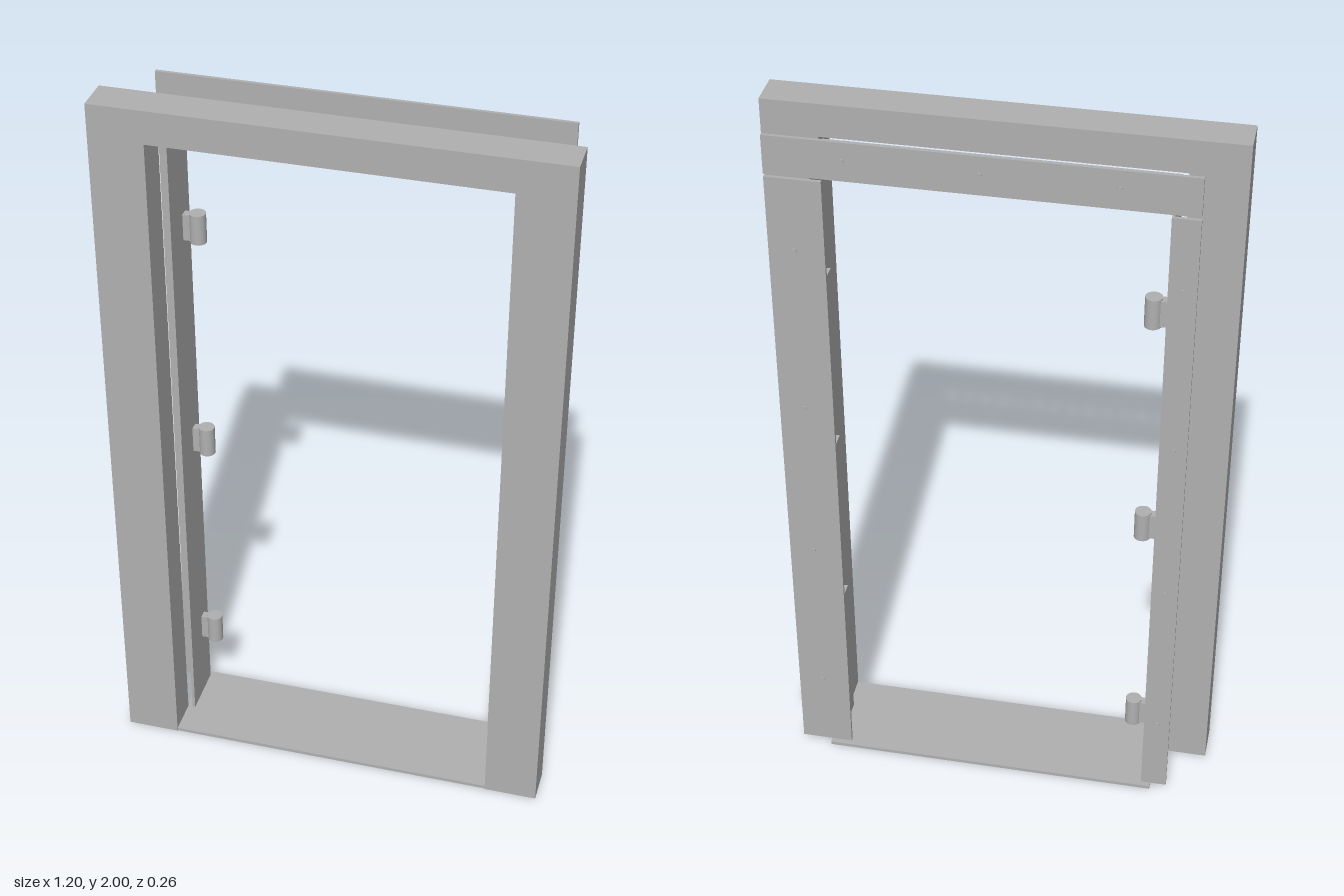
import * as THREE from 'three';

export function createModel() {
  const root = new THREE.Group();
  root.name = 'doorFrame';
  const steel = new THREE.MeshStandardMaterial({ color: 0xb0b0b0 });
  steel.name = 'grey steel';

  const add = (name, geometry, parent = root) => {
    const mesh = new THREE.Mesh(geometry, steel);
    mesh.name = name;
    parent.add(mesh);
    return mesh;
  };
  // Box given by its minimum and maximum on each axis
  const box = (name, x0, x1, y0, y1, z0, z1, parent = root) => {
    const mesh = add(name, new THREE.BoxGeometry(x1 - x0, y1 - y0, z1 - z0), parent);
    mesh.position.set((x0 + x1) / 2, (y0 + y1) / 2, (z0 + z1) / 2);
    return mesh;
  };

  // Hollow front casing: two face plates with the same portal outline
  const T = 0.006;
  const portal = new THREE.Shape();
  [[-0.6, 0], [-0.455, 0], [-0.455, 1.91], [0.455, 1.91], [0.455, 0], [0.6, 0], [0.6, 2], [-0.6, 2]]
    .forEach(([x, y], i) => (i ? portal.lineTo(x, y) : portal.moveTo(x, y)));
  const casing = new THREE.Group();
  casing.name = 'frontCasing';
  root.add(casing);
  for (const [name, z] of [['casingFront', 0.13 - T], ['casingBack', 0.03]]) {
    add(name, new THREE.ExtrudeGeometry(portal, { depth: T, bevelEnabled: false }), casing).position.z = z;
  }
  // Casing side walls, open at the feet
  const zA = 0.03 + T, zB = 0.13 - T;
  for (const s of [-1, 1]) {
    for (const [name, x] of [['casingOuterWall', 0.6 - T], ['casingInnerWall', 0.455]]) {
      const a = s * x, b = s * (x + T);
      box(name, Math.min(a, b), Math.max(a, b), 0, name === 'casingOuterWall' ? 2 : 1.91 + T, zA, zB, casing);
    }
  }
  box('casingTop', -0.6 + T, 0.6 - T, 2 - T, 2, zA, zB, casing);
  box('casingSoffit', -0.455, 0.455, 1.91, 1.91 + T, zA, zB, casing);

  // Threshold plate
  box('threshold', -0.46, 0.47, 0, 0.01, -0.132, 0.128);

  // Sheet metal jambs and head
  box('hingeJamb', -0.442, -0.434, 0.01, 1.905, -0.108, 0.03);
  box('strikeJamb', 0.443, 0.451, 0.01, 1.905, -0.108, 0.03);
  box('head', -0.44, 0.445, 1.902, 1.908, -0.108, 0.027);

  // Rear flanges, the strike side and head also forming the door stop
  const zF = -0.117, zN = -0.108;
  box('hingeFlange', -0.505, -0.434, 0.01, 1.872, zF, zN);
  box('strikeFlange', 0.412, 0.555, 0.01, 1.872, zF, zN);
  box('headFlange', -0.505, 0.555, 1.88, 1.985, zF, zN);

  // Hinges: leaf block and round knuckle
  for (const y of [0.245, 0.912, 1.578]) {
    const hinge = new THREE.Group();
    hinge.name = 'hinge';
    hinge.position.set(-0.397, y, -0.072);
    root.add(hinge);
    box('hingeLeaf', -0.038, 0, -0.037, 0.037, -0.012, 0.012, hinge);
    add('hingeKnuckle', new THREE.CylinderGeometry(0.022, 0.022, 0.084, 24), hinge);
  }

  // Strike plates in the jamb and head
  for (const y of [0.48, 1.005, 1.53]) box('strikePlate', 0.43, 0.444, y - 0.03, y + 0.03, -0.075, -0.01);
  box('headStrike', -0.015, 0.06, 1.892, 1.903, -0.075, -0.03);

  // Screw heads on the flanges
  const screwGeometry = new THREE.CylinderGeometry(0.007, 0.007, 0.008, 12).rotateX(Math.PI / 2);
  const screw = (x, y) => add('screw', screwGeometry).position.set(x, y, zF);
  for (const y of [0.24, 0.717, 1.193, 1.67]) {
    screw(-0.47, y);
    screw(0.49, y);
  }
  for (const x of [-0.31, 0.025, 0.36]) screw(x, 1.935);

  return root;
}
